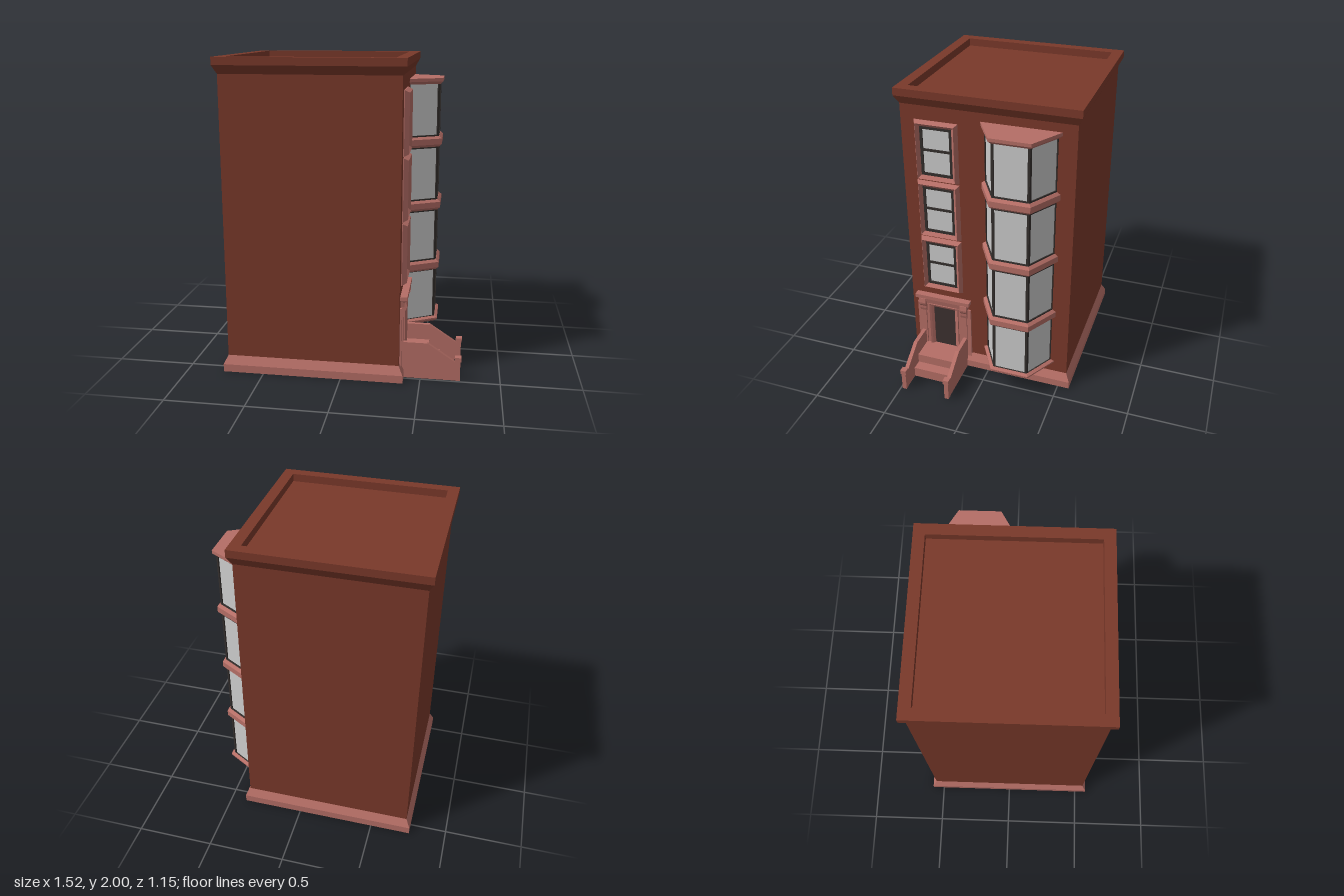
import * as THREE from 'three';

const mat = (color) => new THREE.MeshStandardMaterial({ color, flatShading: true });
const brick = mat(0x7a392a), stone = mat(0xb56e66), dark = mat(0x332e2c), doorMat = mat(0x3d3130), glass = mat(0xcccccc);
const WALL = 0.368, ENTRY_Z = 0.32;

// Skin a series of equal-length closed rings; each ring runs counter-clockwise around the direction of travel.
function loft(name, rings, material, capStart = true, capEnd = true) {
  const pos = [];
  const tri = (...p) => p.forEach((v) => pos.push(...v));
  const n = rings[0].length;
  for (let r = 0; r < rings.length - 1; r++) {
    const a = rings[r], b = rings[r + 1];
    for (let i = 0; i < n; i++) {
      const j = (i + 1) % n;
      tri(a[i], a[j], b[j]);
      tri(a[i], b[j], b[i]);
    }
  }
  const s = rings[0], e = rings[rings.length - 1];
  for (let i = 1; i < n - 1; i++) {
    if (capStart) tri(s[0], s[i + 1], s[i]);
    if (capEnd) tri(e[0], e[i], e[i + 1]);
  }
  const g = new THREE.BufferGeometry();
  g.setAttribute('position', new THREE.Float32BufferAttribute(pos, 3));
  g.computeVertexNormals();
  return named(name, g, material);
}

function named(name, geometry, material) {
  const m = new THREE.Mesh(geometry, material);
  m.name = name;
  return m;
}

function box(name, x0, x1, y0, y1, z0, z1, material) {
  const m = named(name, new THREE.BoxGeometry(x1 - x0, y1 - y0, z1 - z0), material);
  m.position.set((x0 + x1) / 2, (y0 + y1) / 2, (z0 + z1) / 2);
  return m;
}

// Horizontal ring around the building, offset outward by d from the wall face
function plan(d, y) {
  const x0 = -0.735 - d, x1 = WALL + d, z = 0.55 + d;
  return [[x1, y, z], [x1, y, -z], [x0, y, -z], [x0, y, z]];
}

// Upright rectangle facing +x
function upright(x, zc, yc, hw, hh) {
  return [[x, yc - hh, zc + hw], [x, yc - hh, zc - hw], [x, yc + hh, zc - hw], [x, yc + hh, zc + hw]];
}

// Horizontal trapezoid ring of the bay window, offset outward by d
function bayPlan(d, y) {
  const t = Math.tan(Math.PI / 6), zc = -0.2125, back = 0.36, x = 0.558 + d;
  const f = 0.1155 + d * t, w = f + (x - back) * t;
  return [[back, y, zc + w], [x, y, zc + f], [x, y, zc - f], [back, y, zc - w]];
}

// Rectangular sash frame, centred, facing +z
function sash(w, h, bar, depth, material) {
  const rect = (P, a, b) => new P([[-a, -b], [a, -b], [a, b], [-a, b]].map((p) => new THREE.Vector2(...p)));
  const s = rect(THREE.Shape, w / 2, h / 2);
  s.holes.push(rect(THREE.Path, w / 2 - bar, h / 2 - bar));
  return named('sashFrame', new THREE.ExtrudeGeometry(s, { depth, bevelEnabled: false }), material);
}

// Side profile in x and y, extruded along z
function profile(name, pts, z0, z1, material) {
  const s = new THREE.Shape(pts.map((p) => new THREE.Vector2(...p)));
  const m = named(name, new THREE.ExtrudeGeometry(s, { depth: z1 - z0, bevelEnabled: false }), material);
  m.position.z = z0;
  return m;
}

function building() {
  const g = new THREE.Group();
  g.name = 'building';
  // plinth is hollowed underneath; the roof sits behind a parapet
  g.add(loft('plinth', [plan(-0.043, 0.05), plan(-0.043, 0), plan(0.027, 0), plan(0.027, 0.05), plan(0, 0.105)], stone, true, false));
  g.add(loft('walls', [plan(0, 0.105), plan(0, 1.9)], brick, false, false));
  g.add(loft('corniceAndRoof', [plan(0, 1.9), plan(0.027, 1.952), plan(0.027, 2), plan(-0.043, 2), plan(-0.043, 1.95)], brick, false, true));
  return g;
}

function bayWindow() {
  const g = new THREE.Group();
  g.name = 'bayWindow';
  const storeys = [[0.185, 0.55], [0.605, 0.97], [1.03, 1.4], [1.46, 1.825]];
  for (const [y0, y1] of storeys) {
    g.add(loft('bayGlass', [bayPlan(-0.008, y0), bayPlan(-0.008, y1)], glass));
    const ring = bayPlan(-0.008, 0), h = y1 - y0;
    const outer = bayPlan(0, 0);
    for (let i = 0; i < 3; i++) {
      const [px, , pz] = ring[i], [qx, , qz] = ring[i + 1];
      const [ox, , oz] = outer[i], [rx, , rz] = outer[i + 1];
      const f = sash(Math.hypot(rx - ox, rz - oz), h, 0.014, 0.008, dark);
      f.position.set((px + qx) / 2, (y0 + y1) / 2, (pz + qz) / 2);
      f.rotation.y = Math.atan2(pz - qz, qx - px);
      f.rotation.y = Math.atan2(-(qz - pz), qx - px);
      g.add(f);
    }
  }
  // moulded bands between the storeys: bevelled, straight, bevelled
  for (const y of [0.575, 1.0, 1.43]) {
    g.add(loft('bayBand', [bayPlan(0.003, y - 0.035), bayPlan(0.02, y - 0.018), bayPlan(0.02, y + 0.02), bayPlan(0.003, y + 0.035)], stone));
  }
  g.add(loft('baySill', [bayPlan(0.006, 0.163), bayPlan(0.02, 0.178), bayPlan(0.02, 0.187), bayPlan(0.003, 0.197)], stone));
  g.add(loft('bayRoof', [bayPlan(0.003, 1.808), bayPlan(0.02, 1.825), bayPlan(0.02, 1.846)], stone));
  return g;
}

function sashWindow(yc) {
  const g = new THREE.Group();
  g.name = 'sashWindow';
  g.add(loft('windowSurround', [
    upright(0.36, ENTRY_Z, yc, 0.14, 0.198),
    upright(WALL + 0.005, ENTRY_Z, yc, 0.14, 0.198),
    upright(0.402, ENTRY_Z, yc, 0.124, 0.183),
    upright(0.382, ENTRY_Z, yc, 0.104, 0.162),
    upright(0.37, ENTRY_Z, yc, 0.104, 0.162),
  ], stone, false, false));
  g.add(box('windowGlass', 0.36, 0.373, yc - 0.16, yc + 0.16, ENTRY_Z - 0.102, ENTRY_Z + 0.102, glass));
  const f = sash(0.208, 0.324, 0.017, 0.009, dark);
  f.rotation.y = Math.PI / 2;
  f.position.set(0.372, yc, ENTRY_Z);
  g.add(f, box('meetingRail', 0.37, 0.381, yc + 0.001, yc + 0.016, ENTRY_Z - 0.1, ENTRY_Z + 0.1, dark));
  return g;
}

function entrance() {
  const g = new THREE.Group();
  g.name = 'entrance';
  const z = ENTRY_Z;
  g.add(box('door', 0.36, 0.372, 0.1, 0.46, z - 0.09, z + 0.09, doorMat));
  // moulded architrave around the door
  g.add(loft('doorArchitrave', [
    upright(0.36, z, 0.27, 0.104, 0.2),
    upright(0.394, z, 0.27, 0.104, 0.2),
    upright(0.388, z, 0.27, 0.092, 0.185),
    upright(0.378, z, 0.27, 0.077, 0.175),
    upright(0.37, z, 0.27, 0.077, 0.175),
  ], stone, false, false));
  // moulded hood over the door
  const hood = (x, hw, y) => [[x, y, z + hw], [x, y, z - hw], [0.36, y, z - hw], [0.36, y, z + hw]];
  g.add(box('frieze', 0.36, 0.385, 0.46, 0.52, z - 0.165, z + 0.165, stone));
  g.add(loft('doorHood', [hood(0.392, 0.172, 0.475), hood(0.398, 0.178, 0.51), hood(0.413, 0.194, 0.522), hood(0.413, 0.194, 0.548)], stone));
  for (const s of [-1, 1]) {
    const c = z + s * 0.148;
    g.add(box('jamb', 0.36, 0.38, 0, 0.47, c - 0.045, c + 0.045, stone));
    g.add(box('pilaster', 0.36, 0.39, 0, 0.44, c - 0.018, c + 0.018, stone));
    g.add(profile('bracket', [[0.36, 0.41], [0.391, 0.41], [0.397, 0.43], [0.398, 0.45], [0.407, 0.465], [0.41, 0.48], [0.405, 0.512], [0.36, 0.512]], c - 0.023, c + 0.023, stone));
  }
  return g;
}

function stoop() {
  const g = new THREE.Group();
  g.name = 'stoop';
  g.add(profile('steps', [[0.36, 0], [0.61, 0], [0.61, 0.07], [0.54, 0.07], [0.54, 0.133], [0.36, 0.133]], 0.17, 0.47, stone));
  for (const s of [-1, 1]) {
    const c = ENTRY_Z + s * 0.153;
    g.add(profile('stairWall', [[0.36, 0], [0.74, 0], [0.74, 0.108], [0.54, 0.24], [0.36, 0.24]], c - 0.013, c + 0.013, stone));
    g.add(box('stairPost', 0.72, 0.75, 0, 0.135, c - 0.015, c + 0.015, stone));
    g.add(box('postCap', 0.715, 0.755, 0.128, 0.157, c - 0.02, c + 0.02, stone));
  }
  return g;
}

export function createModel() {
  const model = new THREE.Group();
  model.name = 'townhouse';
  model.add(building(), bayWindow(), entrance(), stoop());
  for (const y of [0.8, 1.207, 1.612]) model.add(sashWindow(y));
  return model;
}
